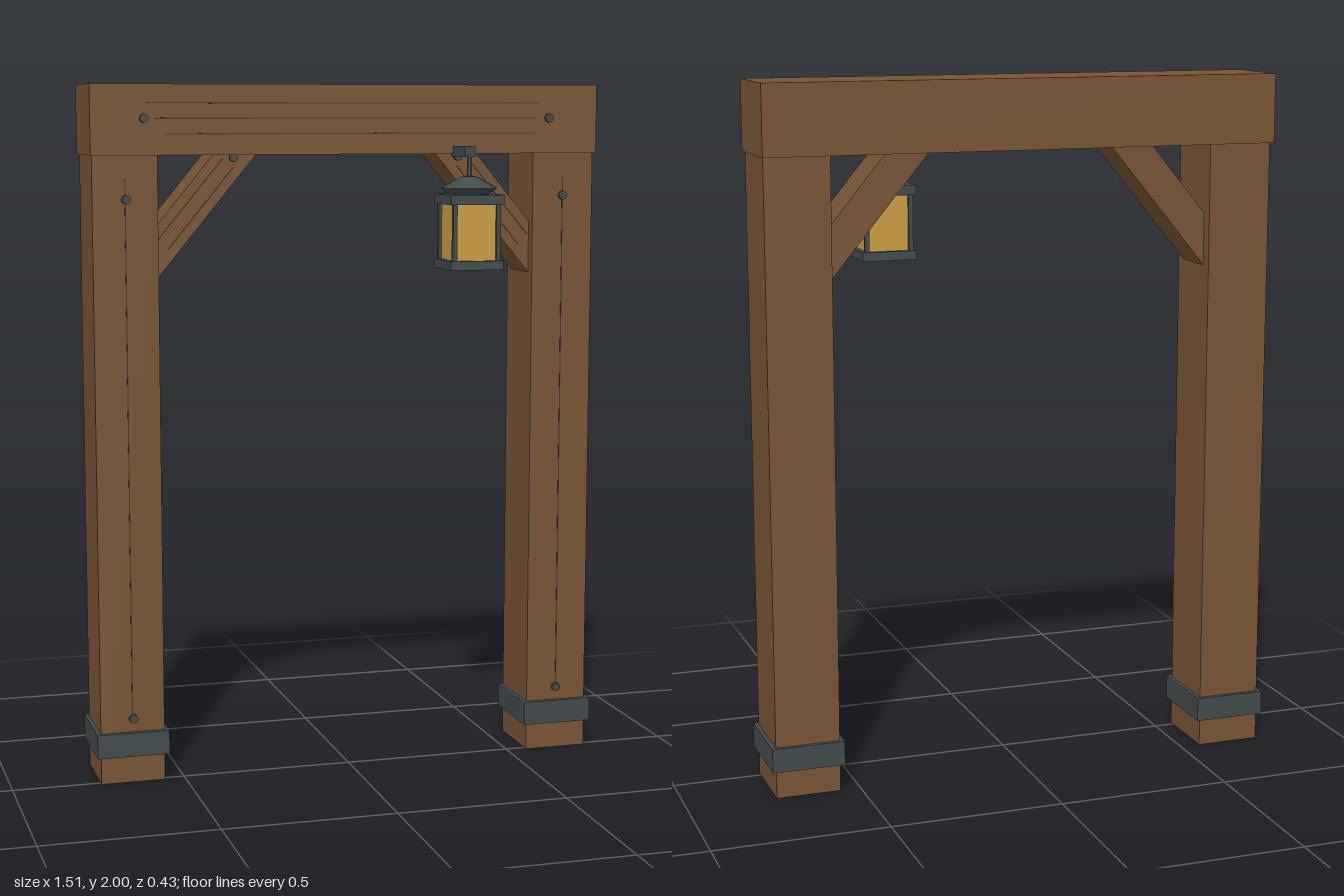
import * as THREE from 'three';

export function createModel() {
  const root = new THREE.Group();
  root.name = 'timberGateway';

  const material = (name, color, options = {}) => {
    const m = new THREE.MeshStandardMaterial({ color, ...options });
    m.name = name;
    return m;
  };
  const wood = material('wood', 0x775435);
  const grainWood = material('darkGrain', 0x4e3520);
  const iron = material('iron', 0x424a4b, { flatShading: true });
  const glass = material('amberGlass', 0xc99d42);

  const add = (parent, name, geometry, mat, x, y, z) => {
    const mesh = new THREE.Mesh(geometry, mat);
    mesh.name = name;
    mesh.position.set(x, y, z);
    parent.add(mesh);
    return mesh;
  };
  const box = (parent, name, mat, w, h, d, x, y, z) =>
    add(parent, name, new THREE.BoxGeometry(w, h, d), mat, x, y, z);
  // Bolt head whose back sits on the face at depth z
  const bolt = (parent, name, x, y, z) => {
    const head = add(parent, name, new THREE.CylinderGeometry(0.013, 0.013, 0.016, 8), iron, x, y, z + 0.004);
    head.rotation.x = Math.PI / 2;
  };

  // Crossbeam with long grain lines on its front
  box(root, 'crossbeam', wood, 1.5, 0.197, 0.242, 0, 1.9015, -0.092);
  [1.948, 1.905, 1.862].forEach((y, i) =>
    box(root, 'beamGrain', grainWood, 1.16 - 0.03 * i, 0.003, 0.003, 0.01 * (i - 1), y, 0.03));

  for (const side of [-1, 1]) {
    const name = side < 0 ? 'right' : 'left';

    // Post, iron band and bolts
    const frame = new THREE.Group();
    frame.name = name + 'Support';
    root.add(frame);
    box(frame, name + 'Post', wood, 0.186, 1.81, 0.21, side * 0.652, 0.905, -0.09);
    box(frame, name + 'IronBand', iron, 0.21, 0.07, 0.236, side * 0.652, 0.115, -0.088);
    bolt(frame, 'beamBolt', side * 0.6, 1.905, 0.03);
    bolt(frame, 'upperPostBolt', side * 0.65, 1.68, 0.015);
    bolt(frame, 'lowerPostBolt', side * 0.65, 0.19, 0.015);
    box(frame, 'postGrain', grainWood, 0.003, 1.55, 0.003, side * 0.652, 0.96, 0.015);

    // Diagonal brace, its ends buried in the post and beam
    const brace = new THREE.Group();
    brace.name = name + 'Brace';
    brace.position.set(side * 0.445, 1.665, -0.088);
    brace.rotation.z = -side * THREE.MathUtils.degToRad(50.3);
    frame.add(brace);
    box(brace, 'braceTimber', wood, 0.5, 0.096, 0.142, 0, 0, 0);
    for (const y of [-0.02, 0.02])
      box(brace, 'braceGrain', grainWood, 0.3, 0.003, 0.003, 0, y, 0.071);
    bolt(frame, 'braceBolt', side * 0.335, 1.795, -0.017);
  }

  // Bracket carrying the lantern
  const lantern = new THREE.Group();
  lantern.name = 'lantern';
  lantern.position.set(0.323, 0, 0.128);
  root.add(lantern);
  box(lantern, 'bracketArm', iron, 0.032, 0.03, 0.121, 0, 1.81, -0.0555);
  add(lantern, 'hangerRod', new THREE.CylinderGeometry(0.008, 0.008, 0.08, 8), iron, 0, 1.765, 0);

  // Faceted roof
  const roofProfile = [[0, 1.688], [0.06, 1.688], [0.085, 1.708], [0.022, 1.74], [0, 1.742]]
    .map(([r, y]) => new THREE.Vector2(r, y));
  add(lantern, 'lanternRoof', new THREE.LatheGeometry(roofProfile, 8), iron, 0, 0, 0);

  // Square cap and base, corner bars and glass
  box(lantern, 'lanternCap', iron, 0.158, 0.028, 0.152, 0, 1.676, 0);
  box(lantern, 'lanternBase', iron, 0.158, 0.026, 0.152, 0, 1.49, 0);
  box(lantern, 'lanternGlass', glass, 0.126, 0.164, 0.126, 0, 1.582, 0);
  for (const x of [-1, 1])
    for (const z of [-1, 1])
      box(lantern, 'cornerBar', iron, 0.013, 0.164, 0.013, x * 0.065, 1.582, z * 0.065);

  return root;
}
